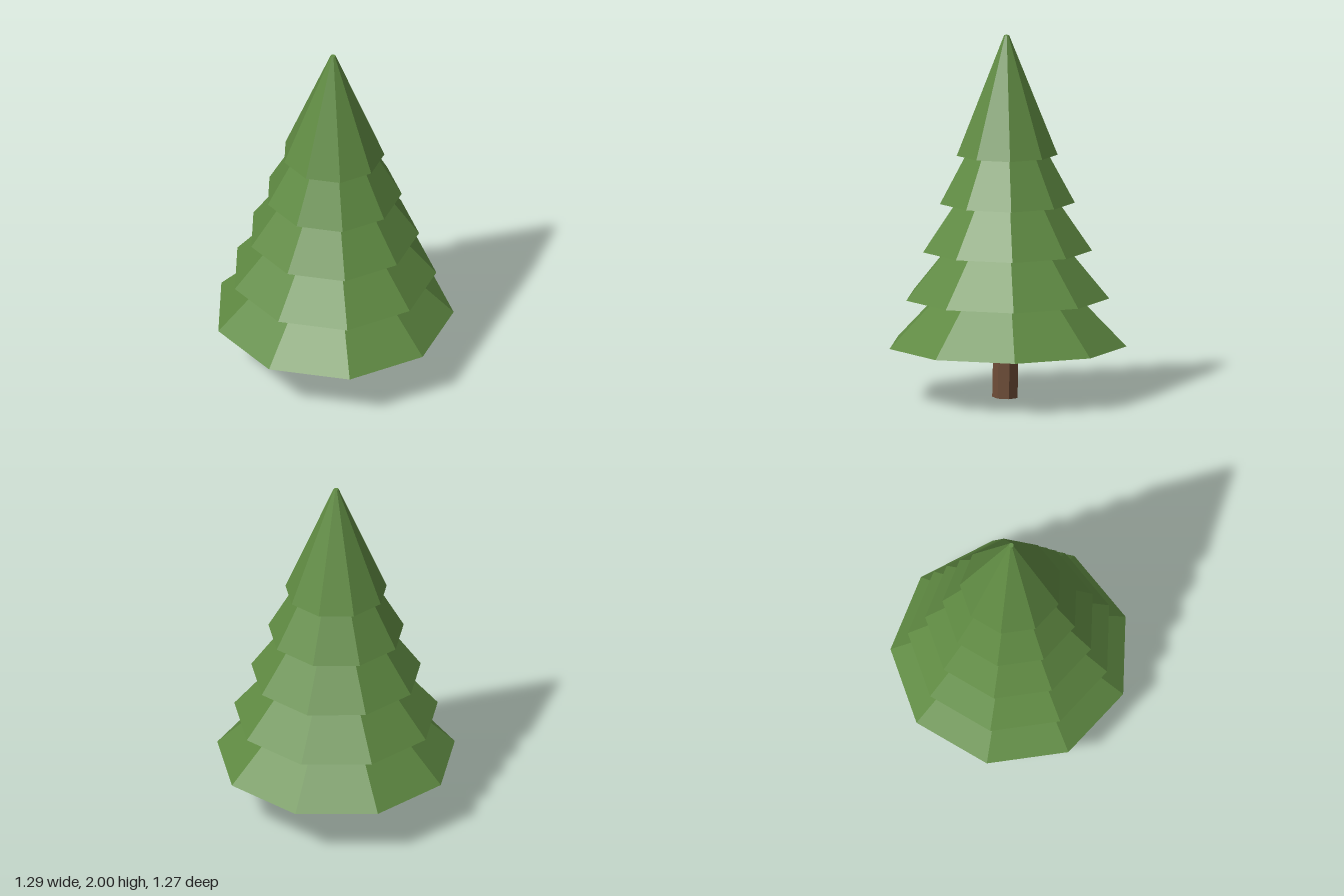
import * as THREE from 'three';

const CENTRE_Z = 0.018;

export function createModel() {
  const tree = new THREE.Group();
  tree.name = 'pineTree';

  const leafMaterial = new THREE.MeshStandardMaterial({ color: 0x5f8a42, flatShading: true });
  const barkMaterial = new THREE.MeshStandardMaterial({ color: 0x704e38, flatShading: true });

  // Foliage: five nine-sided cones of equal height, shrinking upward
  const tiers = 5;
  const tierHeight = 0.655;
  for (let i = 0; i < tiers; i++) {
    const radius = 0.657 - i * 0.0943;
    const geometry = new THREE.CylinderGeometry(0.014, radius, tierHeight, 9);
    const tier = new THREE.Mesh(geometry, leafMaterial);
    tier.name = `foliageTier${i + 1}`;
    tier.rotation.y = Math.PI; // a corner points to the back
    tier.position.set(0, 0.293 + i * 0.263 + tierHeight / 2, CENTRE_Z);
    tree.add(tier);
  }

  // Trunk: seven-sided post leaning slightly, its top buried in the foliage
  const trunkHeight = 0.35;
  const trunkGeometry = new THREE.CylinderGeometry(0.072, 0.072, trunkHeight, 7);
  trunkGeometry.rotateY(0.35);
  trunkGeometry.translate(0, trunkHeight / 2, 0);
  const trunk = new THREE.Mesh(trunkGeometry, barkMaterial);
  trunk.name = 'trunk';
  trunk.rotation.z = -0.035;
  trunk.position.set(-0.007, 0.0025, CENTRE_Z + 0.003);
  tree.add(trunk);

  return tree;
}
